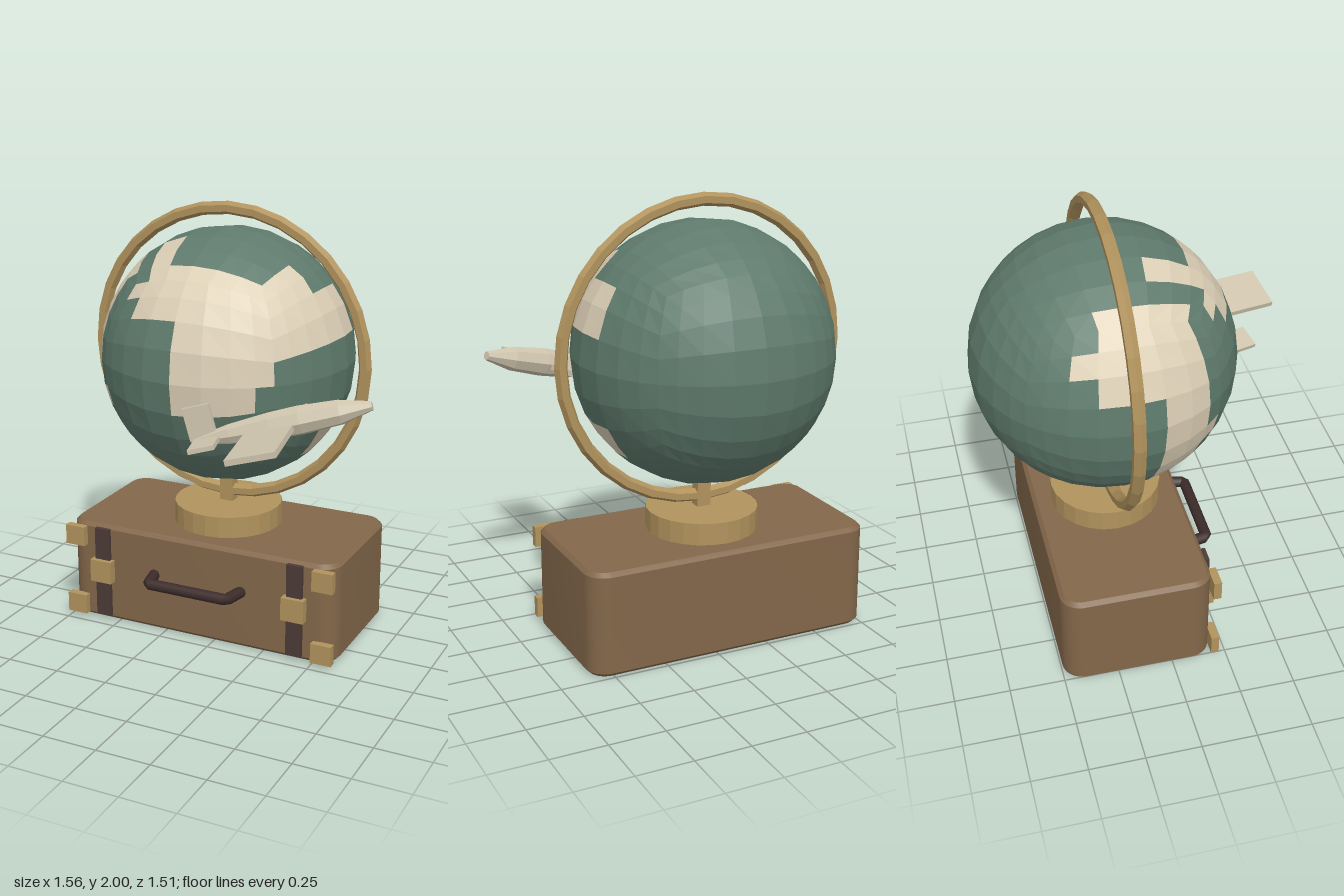
import * as THREE from 'three';
import { toCreasedNormals } from 'three/addons/utils/BufferGeometryUtils.js';

const CX = -0.083, CZ = -0.155; // shared centre of globe, stand and suitcase

// Land cells on the six faces of a cube blown up into a sphere: [right axis, up axis, rows from the top]
const BLANK = '........';
const FACES = [
  [[1, 0, 0], [0, 1, 0], ['.#######', '..######', '....####', '....####', '....###.']],
  [[0, 0, -1], [0, 1, 0], ['###.....', '#####...', '#####...', BLANK, BLANK, BLANK, '...##...', '...##...']],
  [[0, 0, 1], [0, 1, 0], ['...####.', '..#####.', '...####.', '.....##.', '.....##.', '.....###', '.....##.', '.....##.']],
  [[1, 0, 0], [0, 0, -1], [BLANK, BLANK, BLANK, '#.......', '#.......', '#.#....#', '#.#....#', '..######']],
  [[1, 0, 0], [0, 0, 1], [BLANK, '#.......', '#.......']],
  [[-1, 0, 0], [0, 1, 0], []],
];

function globeGeometry(radius, wanted) {
  const pos = [];
  for (const [right, up, rows] of FACES) {
    const a = new THREE.Vector3(...right), b = new THREE.Vector3(...up);
    const n = a.clone().cross(b);
    const point = (i, j) => n.clone().addScaledVector(a, i / 4 - 1)
      .addScaledVector(b, 1 - j / 4).setLength(radius);
    for (let j = 0; j < 8; j++) for (let i = 0; i < 8; i++) {
      if ((rows[j] || BLANK)[i] !== wanted) continue;
      const tl = point(i, j), tr = point(i + 1, j), bl = point(i, j + 1), br = point(i + 1, j + 1);
      for (const p of [tl, bl, br, tl, br, tr]) pos.push(p.x, p.y, p.z);
    }
  }
  const geo = new THREE.BufferGeometry();
  geo.setAttribute('position', new THREE.Float32BufferAttribute(pos, 3));
  geo.computeVertexNormals();
  return geo;
}

function flat(geo) {
  const g = geo.index ? geo.toNonIndexed() : geo;
  g.computeVertexNormals();
  return g;
}

// Rounded-plan box with a small bevel on the top and bottom rims
function caseGeometry(w, h, d, r, bevel) {
  const x = w / 2 - bevel, y = d / 2 - bevel;
  const s = new THREE.Shape();
  s.moveTo(-x + r, -y);
  s.lineTo(x - r, -y).absarc(x - r, -y + r, r, -Math.PI / 2, 0);
  s.lineTo(x, y - r).absarc(x - r, y - r, r, 0, Math.PI / 2);
  s.lineTo(-x + r, y).absarc(-x + r, y - r, r, Math.PI / 2, Math.PI);
  s.lineTo(-x, -y + r).absarc(-x + r, -y + r, r, Math.PI, Math.PI * 1.5);
  const geo = new THREE.ExtrudeGeometry(s, {
    depth: h - 2 * bevel, bevelEnabled: true, bevelSize: bevel, bevelThickness: bevel,
    bevelSegments: 1, curveSegments: 4,
  });
  geo.rotateX(-Math.PI / 2).translate(0, bevel, 0);
  return toCreasedNormals(geo, 0.5);
}

export function createModel() {
  const paint = (name, color) => {
    const m = new THREE.MeshStandardMaterial({ color });
    m.name = name;
    return m;
  };
  const sea = paint('sea green', 0x5f7b6d);
  const land = paint('land cream', 0xdccfb6);
  const brass = paint('brass', 0xb1935d);
  const leather = paint('brown leather', 0x83674a);
  const strapBrown = paint('strap brown', 0x4c3b36);
  const handleBrown = paint('handle brown', 0x3c2c2a);
  const planeGrey = paint('warm ivory', 0xcfc5ae);

  const model = new THREE.Group();
  model.name = 'globeOnSuitcase';
  const add = (parent, name, geo, mat, x = 0, y = 0, z = 0) => {
    const mesh = new THREE.Mesh(geo, mat);
    mesh.name = name;
    mesh.position.set(x, y, z);
    parent.add(mesh);
    return mesh;
  };
  const box = (w, h, d) => new THREE.BoxGeometry(w, h, d);

  // Suitcase
  const suitcase = new THREE.Group();
  suitcase.name = 'suitcase';
  suitcase.position.set(CX, 0, CZ);
  model.add(suitcase);
  add(suitcase, 'suitcaseBody', caseGeometry(1.366, 0.48, 0.68, 0.075, 0.018), leather);
  for (const side of [-1, 1]) {
    add(suitcase, 'strap', box(0.076, 0.445, 0.03), strapBrown, side * 0.494, 0.243, 0.343);
    add(suitcase, 'buckle', box(0.11, 0.11, 0.05), brass, side * 0.494, 0.255, 0.355);
    for (const y of [0.063, 0.415])
      add(suitcase, 'cornerBracket', box(0.1, 0.095, 0.036), brass, side * 0.633, y, 0.354);
  }

  // Handle
  const grip = new THREE.CurvePath();
  const pts = [[-0.225, 0.33], [-0.2, 0.445], [0.2, 0.445], [0.225, 0.33]]
    .map(([x, z]) => new THREE.Vector3(x, 0.278, z));
  for (let i = 0; i < 3; i++) grip.add(new THREE.LineCurve3(pts[i], pts[i + 1]));
  add(suitcase, 'handle', new THREE.TubeGeometry(grip, 30, 0.027, 8, false), handleBrown);

  // Stand and meridian ring
  add(model, 'standBase', flat(new THREE.CylinderGeometry(0.255, 0.255, 0.1, 24)), brass, CX, 0.532, CZ);
  add(model, 'standPost', box(0.066, 0.14, 0.055), brass, CX, 0.645, CZ);
  add(model, 'meridianRing', flat(new THREE.TorusGeometry(0.67, 0.03, 6, 32)), brass, CX, 1.3, CZ);

  // Globe
  const globe = new THREE.Group();
  globe.name = 'globe';
  globe.position.set(CX, 1.3, CZ);
  model.add(globe);
  add(globe, 'seas', globeGeometry(0.587, '.'), sea);
  add(globe, 'lands', globeGeometry(0.587, '#'), land);

  // Aeroplane, nose along its local +x
  const plane = new THREE.Group();
  plane.name = 'aeroplane';
  plane.position.set(0.415, 1.177, 0.362);
  plane.rotation.set(0, 0.265, 0.262, 'YZX');
  model.add(plane);
  const profile = [[0, -0.385], [0.016, -0.385], [0.044, -0.23], [0.06, -0.05], [0.064, 0.08],
    [0.054, 0.25], [0.02, 0.385], [0, 0.385]].map(([r, y]) => new THREE.Vector2(r, y));
  add(plane, 'fuselage', flat(new THREE.LatheGeometry(profile, 8).rotateZ(-Math.PI / 2)), planeGrey);
  add(plane, 'wings', box(0.215, 0.026, 0.77), planeGrey, -0.05, -0.01, 0).rotation.y = -0.075;
  add(plane, 'tailplane', box(0.115, 0.02, 0.31), planeGrey, -0.33, 0, 0);
  add(plane, 'tailFin', box(0.12, 0.15, 0.02), planeGrey, -0.345, 0.075, 0);
  return model;
}
